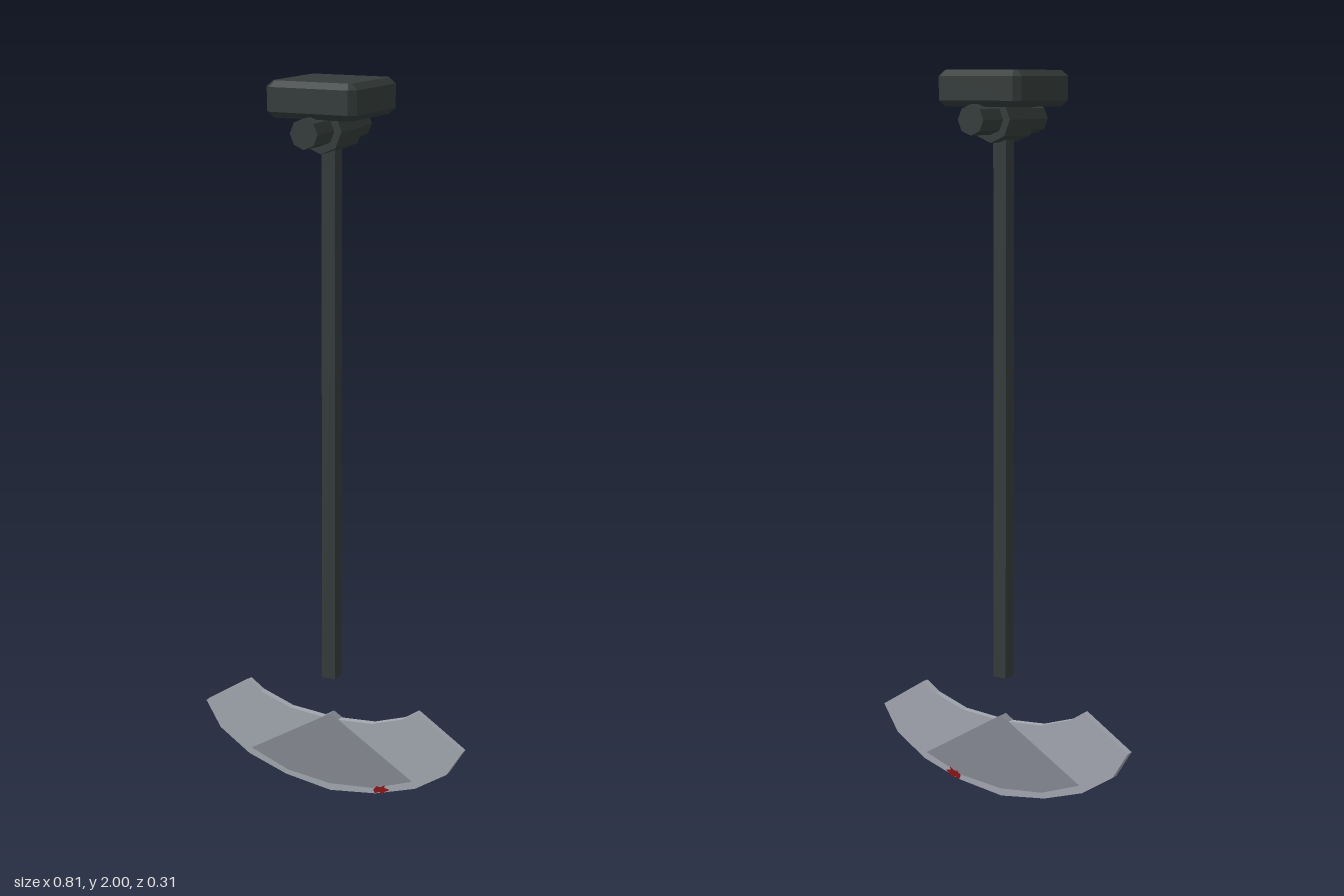
import * as THREE from 'three';

const material = (name, color) => {
  const m = new THREE.MeshStandardMaterial({ color, flatShading: true });
  m.name = name;
  return m;
};

// Closed shape from a half outline running from the top centre to the bottom centre, mirrored in x
function mirroredShape(half) {
  const other = half.filter(([x]) => x > 0).reverse().map(([x, y]) => [-x, y]);
  return new THREE.Shape([...half, ...other].map(([x, y]) => new THREE.Vector2(x, y)));
}

// Flat plate of the given thickness, centred on z
function plate(shape, thickness) {
  return new THREE.ExtrudeGeometry(shape, { depth: thickness, bevelEnabled: false })
    .translate(0, 0, -thickness / 2);
}

export function createModel() {
  const iron = material('dark iron', 0x343b3a);
  const steel = material('pale steel', 0xa2a6af);
  const darkSteel = material('dark steel', 0x848891);
  const blood = material('dark red', 0x8c1418);

  const model = new THREE.Group();
  model.name = 'pendulumBlade';
  const add = (name, geometry, mat, x = 0, y = 0, z = 0) => {
    const mesh = new THREE.Mesh(geometry, mat);
    mesh.name = name;
    mesh.position.set(x, y, z);
    model.add(mesh);
  };

  // Ceiling mount: square block with every edge chamfered
  const bevel = 0.016, h = 0.13 - bevel, c = h - 0.008;
  const square = new THREE.Shape([
    [h, -c], [h, c], [c, h], [-c, h], [-h, c], [-h, -c], [-c, -h], [c, -h],
  ].map(([x, y]) => new THREE.Vector2(x, y)));
  const mount = new THREE.ExtrudeGeometry(square, {
    depth: 0.095 - 2 * bevel, bevelEnabled: true,
    bevelThickness: bevel, bevelSize: bevel, bevelSegments: 1,
  }).rotateX(-Math.PI / 2);
  add('ceilingMount', mount, iron, 0, 1.905 + bevel, 0);

  // Octagonal axle and its wider collar, both along z
  const barrel = (r, length) => new THREE.CylinderGeometry(r, r, length, 8)
    .rotateX(Math.PI / 2);
  add('axle', barrel(0.04, 0.31), iron, 0, 1.872, 0);
  add('collar', barrel(0.061, 0.126), iron, 0, 1.872, 0);

  // Square rod
  add('rod', new THREE.BoxGeometry(0.04, 1.5, 0.04), iron, 0, 1.095, 0);

  // Crescent blade
  const crescent = mirroredShape([
    [0, 0.218], [0.13, 0.228], [0.225, 0.26], [0.267, 0.288],
    [0.407, 0.198], [0.36, 0.122], [0.265, 0.06], [0.143, 0.02], [0, 0],
  ]);
  add('blade', plate(crescent, 0.02), steel, 0, 0, -0.002);

  // Slightly thicker fan in the middle of the blade
  const fan = mirroredShape([
    [0, 0.235], [0.255, 0.08], [0.135, 0.036], [0, 0.022],
  ]);
  add('bladeFan', plate(fan, 0.026), darkSteel, 0, 0, -0.002);

  // Small ragged stain on both faces of the cutting edge
  const stain = new THREE.Shape([
    [0.138, 0.032], [0.148, 0.045], [0.158, 0.042], [0.172, 0.052], [0.17, 0.043],
    [0.186, 0.04], [0.172, 0.032], [0.164, 0.023], [0.156, 0.029], [0.143, 0.022],
  ].map(([x, y]) => new THREE.Vector2(x, y)));
  for (const side of [1, -1]) {
    add(side > 0 ? 'frontStain' : 'backStain', plate(stain, 0.006), blood,
      0, 0, -0.002 + side * 0.0115);
  }

  return model;
}
